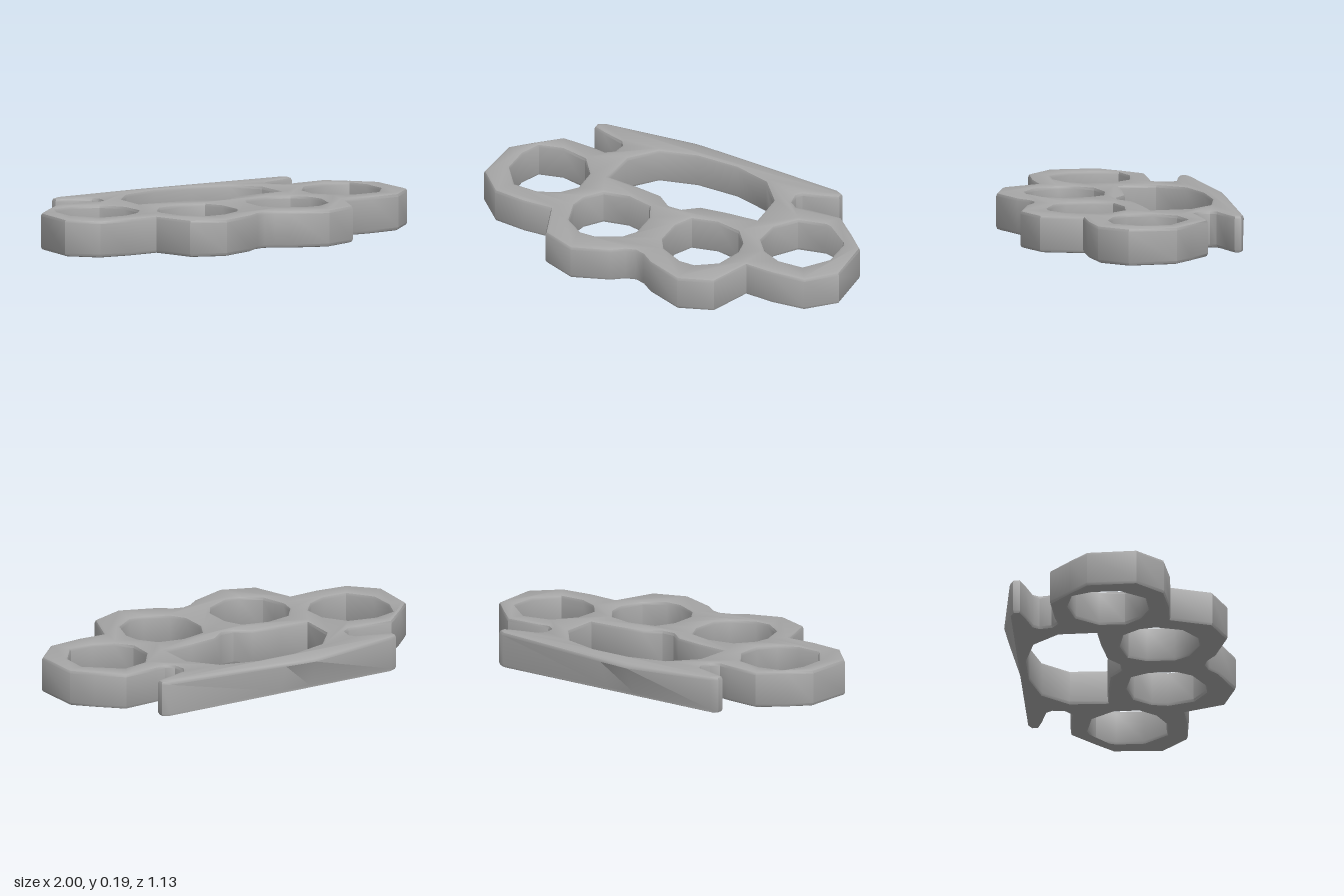
import * as THREE from 'three';
import { toCreasedNormals } from 'three/addons/utils/BufferGeometryUtils.js';

const HEIGHT = 0.19;
const BEVEL = 0.018;

const toPoints = (list) => list.map(([x, z]) => new THREE.Vector2(x, z));
const mirror = (list) => list.map(([x, z]) => [-x, z]).reverse();

// Plan outlines, given as [x, z] on the +x side
const backEdge = [[-0.65, -0.51], [-0.17, -0.57], [0, -0.56], [0.65, -0.51]];
const sideOutline = [
  [0.69, -0.49], [0.69, -0.455], [0.62, -0.43], [0.51, -0.4], [0.49, -0.37],
  [0.5, -0.31], [0.54, -0.28], [0.6, -0.29], [0.78, -0.3], [0.9, -0.19],
  [0.99, -0.1], [1, 0.15], [0.87, 0.28], [0.7, 0.297], [0.55, 0.29],
  [0.475, 0.495], [0.3, 0.56], [0.11, 0.49], [0.05, 0.445],
];
const outerFinger = [
  [0.52, -0.07], [0.6, -0.18], [0.74, -0.21], [0.86, -0.18], [0.9, -0.08],
  [0.9, 0.06], [0.81, 0.18], [0.68, 0.185], [0.58, 0.14], [0.515, 0.06],
];
const innerFinger = [
  [0.075, 0.14], [0.12, 0.05], [0.25, 0.02], [0.38, 0.045], [0.445, 0.13],
  [0.46, 0.21], [0.42, 0.34], [0.32, 0.41], [0.24, 0.41], [0.12, 0.35], [0.075, 0.28],
];
const palmSide = [
  [0.11, -0.46], [0.3, -0.41], [0.41, -0.28], [0.415, -0.09],
  [0.26, -0.08], [0.11, -0.06], [0.035, 0],
];

export function createModel() {
  const group = new THREE.Group();
  group.name = 'fourFingerGrip';
  const steel = new THREE.MeshStandardMaterial({ color: 0xa6a6a6 });
  steel.name = 'grey steel';

  // Plate with four finger holes and the palm opening
  const shape = new THREE.Shape(toPoints([
    ...backEdge, ...sideOutline, [0, 0.43], ...mirror(sideOutline),
  ]));
  const holes = [
    outerFinger, mirror(outerFinger), innerFinger, mirror(innerFinger),
    [...palmSide, ...mirror(palmSide)],
  ];
  for (const hole of holes) shape.holes.push(new THREE.Path(toPoints(hole)));

  const geometry = new THREE.ExtrudeGeometry(shape, {
    depth: HEIGHT - 2 * BEVEL,
    bevelEnabled: true,
    bevelThickness: BEVEL,
    bevelSize: BEVEL,
    bevelOffset: -BEVEL,
    bevelSegments: 2,
  });
  geometry.rotateX(Math.PI / 2);
  geometry.translate(0, HEIGHT - BEVEL, 0);

  // Slant the back of the palm bar: bowed along the top, straight below
  const pos = geometry.attributes.position;
  for (let i = 0; i < pos.count; i++) {
    const y = pos.getY(i);
    const z = pos.getZ(i);
    if (y < HEIGHT / 2) {
      pos.setZ(i, Math.max(z, y < 0.004 ? -0.492 : -0.505));
    } else if (z < -0.5) {
      pos.setY(i, y - 0.15 * (-0.5 - z));
    }
  }

  const body = new THREE.Mesh(toCreasedNormals(geometry, 0.75), steel);
  body.name = 'gripBody';
  group.add(body);
  return group;
}
